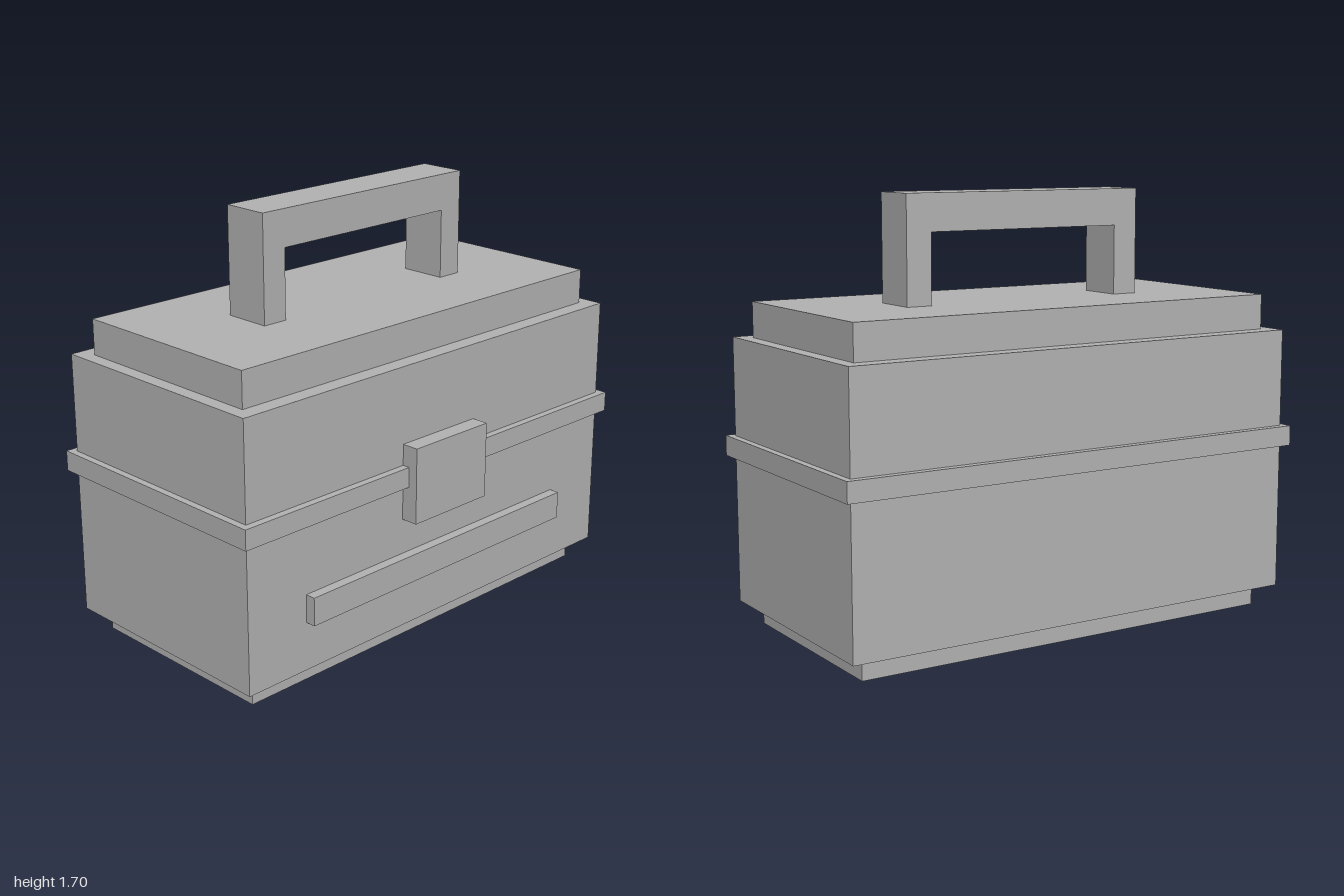
import * as THREE from 'three';

const grey = new THREE.MeshStandardMaterial({ name: 'plain grey', color: 0xb2b2b2 });

// Box given by its half width and its y and z limits
function block(name, halfWidth, y0, y1, z0, z1) {
  const mesh = new THREE.Mesh(new THREE.BoxGeometry(halfWidth * 2, y1 - y0, z1 - z0), grey);
  mesh.name = name;
  mesh.position.set(0, (y0 + y1) / 2, (z0 + z1) / 2);
  return mesh;
}

// Square arch with two legs, extruded front to back
function carryHandle() {
  const outer = 0.525, inner = 0.42, bottom = 1.28, under = 1.555, top = 1.7;
  const z0 = -0.115, z1 = 0.077;
  const shape = new THREE.Shape([
    [-outer, bottom], [-inner, bottom], [-inner, under], [inner, under],
    [inner, bottom], [outer, bottom], [outer, top], [-outer, top],
  ].map(([x, y]) => new THREE.Vector2(x, y)));
  const geometry = new THREE.ExtrudeGeometry(shape, { depth: z1 - z0, bevelEnabled: false });
  const mesh = new THREE.Mesh(geometry, grey);
  mesh.name = 'carryHandle';
  mesh.position.z = z0;
  return mesh;
}

export function createModel() {
  const box = new THREE.Group();
  box.name = 'toolbox';
  box.add(
    // Stacked case
    block('base', 0.902, 0, 0.087, -0.437, 0.4),
    block('body', 0.972, 0.087, 1.14, -0.506, 0.467),
    block('seamBand', 1, 0.672, 0.752, -0.536, 0.497),
    block('lidTop', 0.917, 1.14, 1.28, -0.437, 0.4),
    // Front fittings
    block('latch', 0.195, 0.533, 0.836, 0.46, 0.536),
    block('frontStrip', 0.693, 0.28, 0.392, 0.46, 0.508),
    carryHandle(),
  );
  return box;
}
